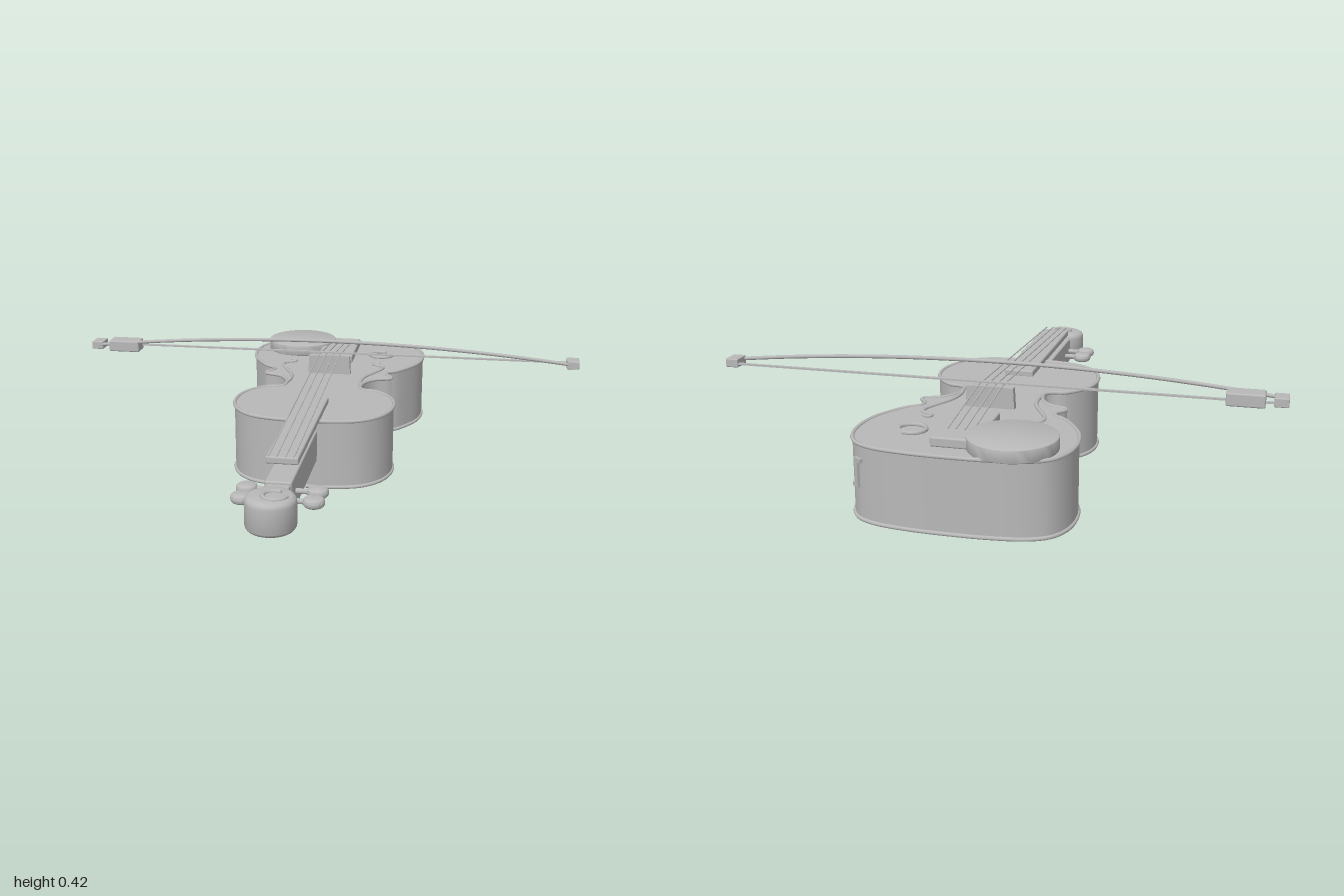
import * as THREE from 'three';
import { toCreasedNormals } from 'three/addons/utils/BufferGeometryUtils.js';
import { RoundedBoxGeometry } from 'three/addons/geometries/RoundedBoxGeometry.js';

const grey = new THREE.MeshStandardMaterial({ color: 0xb8b8b8 });
grey.name = 'plainGrey';

// Half outline of the body, [x, z], from the tail to the neck
const HALF = [
  [0, -0.913], [0.14, -0.908], [0.25, -0.89], [0.315, -0.855], [0.353, -0.79], [0.365, -0.7],
  [0.352, -0.61], [0.32, -0.54], [0.275, -0.475], [0.238, -0.445], [0.235, -0.415], [0.262, -0.368],
  [0.2, -0.34], [0.165, -0.3], [0.15, -0.25], [0.153, -0.205], [0.178, -0.187], [0.21, -0.183],
  [0.255, -0.145], [0.288, -0.09], [0.302, -0.02], [0.293, 0.06], [0.26, 0.13], [0.2, 0.183],
  [0.11, 0.208], [0, 0.213],
];

export function createModel() {
  const model = new THREE.Group();
  const V = (x, y, z) => new THREE.Vector3(x, y, z);

  const add = (name, geometry, x = 0, y = 0, z = 0) => {
    const mesh = new THREE.Mesh(geometry, grey);
    mesh.name = name;
    mesh.position.set(x, y, z);
    model.add(mesh);
    return mesh;
  };
  // Box given by its extents on each axis
  const block = (name, [x0, x1], [y0, y1], [z0, z1], r = 0.006) =>
    add(name, new RoundedBoxGeometry(x1 - x0, y1 - y0, z1 - z0, 2, r),
      (x0 + x1) / 2, (y0 + y1) / 2, (z0 + z1) / 2);
  const tube = (name, points, r, segments = 40, closed = false) =>
    add(name, new THREE.TubeGeometry(
      new THREE.CatmullRomCurve3(points, closed), segments, r, 8, closed));
  // Straight round rod between two points
  const rod = (name, a, b, r) => {
    const mesh = add(name, new THREE.CylinderGeometry(r, r, a.distanceTo(b), 8));
    mesh.position.copy(a).add(b).multiplyScalar(0.5);
    mesh.quaternion.setFromUnitVectors(V(0, 1, 0), b.clone().sub(a).normalize());
    return mesh;
  };
  // Disc with rounded edges, from y0 to y1
  const disc = (name, x, z, radius, y0, y1, bevel) => {
    const profile = [[0, y0]];
    for (let i = 0; i <= 5; i++) {
      const a = (i / 5) * Math.PI / 2;
      profile.push([radius - bevel + bevel * Math.sin(a), y0 + bevel - bevel * Math.cos(a)]);
    }
    for (let i = 0; i <= 5; i++) {
      const a = (i / 5) * Math.PI / 2;
      profile.push([radius - bevel + bevel * Math.cos(a), y1 - bevel + bevel * Math.sin(a)]);
    }
    profile.push([0, y1]);
    const points = profile.map(([px, py]) => new THREE.Vector2(px, py));
    return add(name, toCreasedNormals(new THREE.LatheGeometry(points, 40), 0.5), x, 0, z);
  };
  // Curl lying flat, opening to one side
  const curl = (name, x, y, z, radius, r) => {
    const points = [];
    for (let i = 0; i <= 14; i++) {
      const a = 0.15 + (i / 14) * 4.9;
      const s = radius * (1 - 0.25 * (i / 14));
      points.push(V(x + s * Math.cos(a), y, z + s * Math.sin(a)));
    }
    tube(name, points, r);
    add(name + 'End', new THREE.SphereGeometry(r * 1.3, 10, 8), ...points[14].toArray());
  };

  // Body: closed outline extruded upwards, with piping round both edges
  const loop = HALF.concat(HALF.slice(1, -1).reverse().map(([x, z]) => [-x, z]));
  const outline = new THREE.CatmullRomCurve3(loop.map(([x, z]) => V(x, 0, z)), true, 'centripetal');
  const rim = outline.getPoints(200).slice(0, -1);
  const shape = new THREE.Shape(rim.map((p) => new THREE.Vector2(p.x, -p.z)));
  const bodyGeometry = new THREE.ExtrudeGeometry(shape, { depth: 0.256, bevelEnabled: false });
  bodyGeometry.rotateX(-Math.PI / 2);
  add('body', toCreasedNormals(bodyGeometry, 0.5), 0, 0.006, 0);
  for (const [name, y] of [['lowerEdge', 0.007], ['upperEdge', 0.261]]) {
    add(name, new THREE.TubeGeometry(outline, 220, 0.007, 8, true), 0, y, 0);
  }

  // Sound hole trims, one each side
  for (const s of [1, -1]) {
    tube('soundHoleTrim', [[0.178, -0.54], [0.195, -0.53], [0.21, -0.515], [0.208, -0.48], [0.18, -0.42],
      [0.152, -0.36], [0.142, -0.29], [0.15, -0.23]].map(([x, z]) => V(s * x, 0.264, z)), 0.007);
    const eye = add('soundHoleEye', new THREE.TorusGeometry(0.013, 0.006, 8, 20), s * 0.178, 0.265, -0.553);
    eye.rotation.x = Math.PI / 2;
  }
  curl('bodyCurl', 0.18, 0.266, -0.705, 0.052, 0.008);

  // Chin rest, with its small clasp on the side of the body
  disc('chinRest', -0.177, -0.785, 0.146, 0.262, 0.306, 0.003);
  const clasp = new THREE.Group();
  clasp.name = 'clasp';
  for (const [w, h, x, y] of [[0.016, 0.1, 0, 0], [0.03, 0.014, 0.01, 0.043], [0.026, 0.014, -0.008, -0.043]]) {
    const part = new THREE.Mesh(new THREE.BoxGeometry(w, h, 0.02), grey);
    part.position.set(x, y, 0);
    clasp.add(part);
  }
  clasp.position.set(0.308, 0.165, -0.86);
  clasp.rotation.y = Math.PI * 0.8;
  model.add(clasp);

  // Tailpiece, bridge and fingerboard
  block('tailpiece', [-0.075, 0.075], [0.264, 0.297], [-0.845, -0.555]);
  const bridge = new THREE.Shape();
  bridge.moveTo(-0.087, 0);
  bridge.lineTo(0.087, 0);
  bridge.lineTo(0.083, 0.074);
  bridge.quadraticCurveTo(0, 0.08, -0.083, 0.074);
  add('bridge', new THREE.ExtrudeGeometry(bridge, { depth: 0.026, bevelEnabled: false }), 0, 0.262, -0.418);
  block('fingerboard', [-0.055, 0.055], [0.258, 0.284], [-0.012, 0.65]);

  // Neck and peg box
  block('neck', [-0.045, 0.045], [0.108, 0.224], [0.2, 0.715]);
  block('pegBox', [-0.04, 0.04], [0.115, 0.215], [0.65, 0.79]);

  // Scroll
  disc('scroll', 0, 0.838, 0.083, 0.115, 0.232, 0.022);
  curl('scrollCurl', 0.012, 0.232, 0.843, 0.042, 0.008);

  // Tuning pegs
  for (const s of [1, -1]) {
    for (const z of [0.645, 0.728]) {
      disc('tuningPeg', s * 0.118, z, 0.036, 0.152, 0.184, 0.014);
      rod('pegShaft', V(s * 0.03, 0.168, z), V(s * 0.095, 0.168, z), 0.01);
    }
  }

  // Strings over the bridge
  for (const x of [-0.042, -0.015, 0.015, 0.042]) {
    rod('string', V(x, 0.29, 0.66), V(x, 0.34, -0.405), 0.0025);
    rod('string', V(x, 0.34, -0.405), V(x, 0.299, -0.76), 0.0025);
  }

  // Bow: arched stick, flat hair, frog and end caps
  const stick = [];
  for (let i = 0; i <= 12; i++) {
    const x = -0.97 + (1.94 * i) / 12;
    stick.push(V(x, 0.355 + 0.055 * (1 - (x / 0.97) ** 2), -0.352));
  }
  tube('bowStick', stick, 0.007, 60);
  add('bowHair', new THREE.BoxGeometry(1.94, 0.006, 0.013), 0, 0.35, -0.402);
  block('bowFrog', [-0.925, -0.797], [0.33, 0.376], [-0.416, -0.344]);
  block('bowEndCap', [-1, -0.952], [0.337, 0.369], [-0.412, -0.346], 0.004);
  block('bowTip', [0.952, 1], [0.337, 0.369], [-0.412, -0.346], 0.004);

  return model;
}
